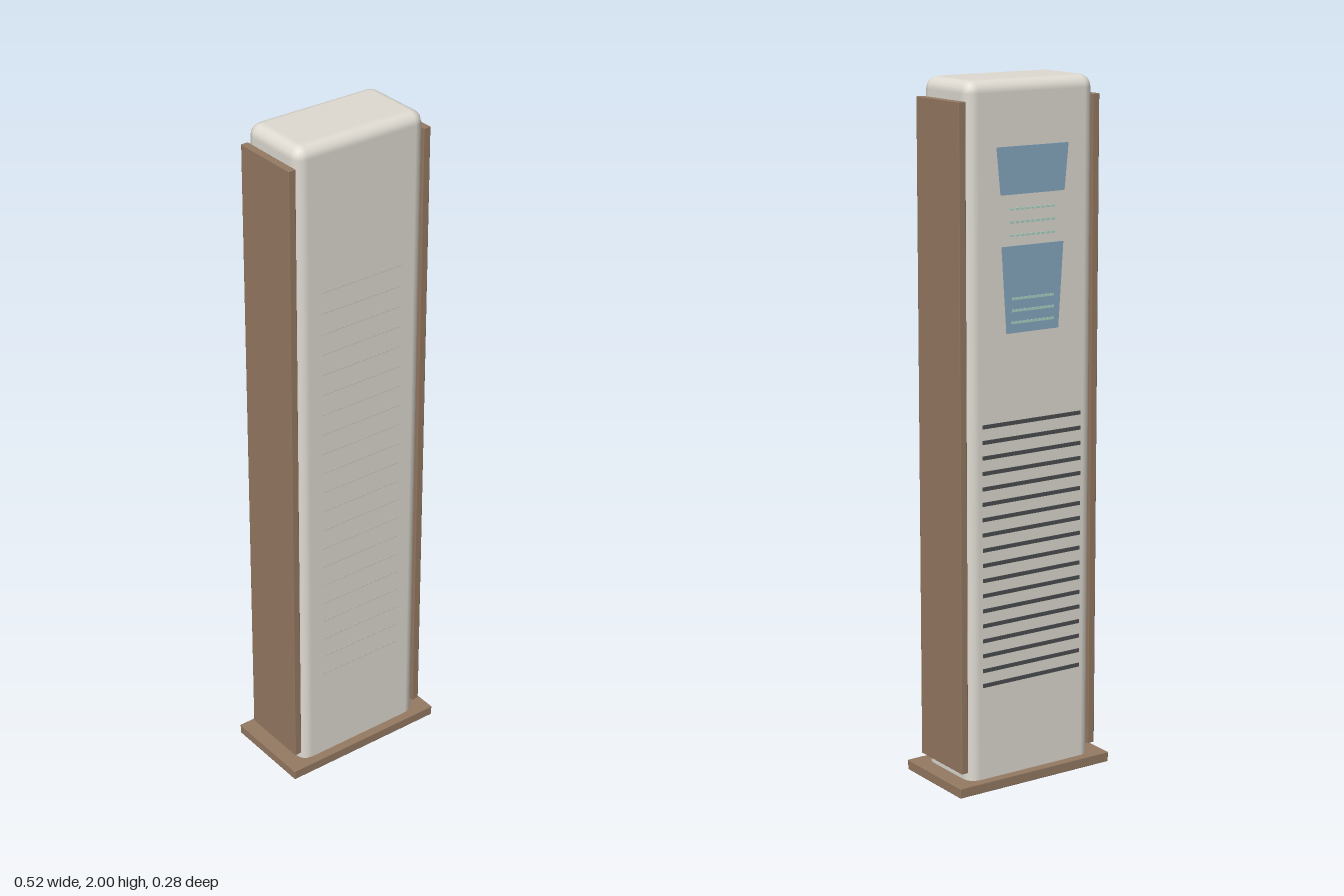
import * as THREE from 'three';
import { RoundedBoxGeometry } from 'three/addons/geometries/RoundedBoxGeometry.js';

const mat = (color) => new THREE.MeshStandardMaterial({ color });

export function createModel() {
  const group = new THREE.Group();
  const shell = mat(0xdfdbd2), wood = mat(0x957a62), dark = mat(0x4a4d50);
  const glass = mat(0x86a9bf), glow = mat(0xa9d3c4), seam = mat(0xd2cec5);
  const BACK = -0.115, FRONT = 0.113;

  const add = (name, geometry, material, x, y, z) => {
    const mesh = new THREE.Mesh(geometry, material);
    mesh.name = name;
    mesh.position.set(x, y, z);
    group.add(mesh);
    return mesh;
  };
  const bar = (name, w, h, d, material, x, y, z) =>
    add(name, new THREE.BoxGeometry(w, h, d), material, x, y, z);

  // Tower body with rounded edges; its flat foot shows under the plinth
  add('body', new RoundedBoxGeometry(0.42, 2, FRONT - BACK, 2, 0.035), shell, 0, 1, (FRONT + BACK) / 2);

  // Plinth and side boards
  add('plinth', new RoundedBoxGeometry(0.516, 0.03, 0.278, 1, 0.003), wood, 0, 0.02, 0);
  for (const side of [-1, 1]) {
    add(side > 0 ? 'leftBoard' : 'rightBoard',
      new RoundedBoxGeometry(0.022, 1.885, 0.21, 1, 0.002), wood, side * 0.22, 1.003, 0);
  }

  // Tapered display panels on the back
  const display = (name, top, bottom, y0, y1) => {
    const shape = new THREE.Shape([[-bottom, y0], [bottom, y0], [top, y1], [-top, y1]]
      .map(([x, y]) => new THREE.Vector2(x, y)));
    add(name, new THREE.ExtrudeGeometry(shape, { depth: 0.006, bevelEnabled: false }), glass, 0, 0, BACK - 0.003);
  };
  display('upperDisplay', 0.118, 0.105, 1.69, 1.82);
  display('lowerDisplay', 0.102, 0.086, 1.31, 1.55);

  // Rows of small indicator dashes between the displays, light lines on the lower one
  for (let row = 0; row < 3; row++) {
    for (let i = 0; i < 9; i++) {
      bar('indicatorDash', 0.011, 0.006, 0.004, glow, -0.068 + i * 0.017, 1.65 - row * 0.036, BACK - 0.001);
    }
    bar('displayLine', 0.14, 0.007, 0.003, glow, 0, 1.405 - row * 0.033, BACK - 0.003);
  }

  // Vent slats on the lower back
  for (let i = 0; i < 18; i++) {
    bar('ventSlat', 0.33, 0.011, 0.006, dark, 0, 0.314 + i * 0.0438, BACK);
  }

  // Faint seams on the front
  for (let i = 0; i < 21; i++) {
    bar('frontSeam', 0.27, 0.004, 0.002, seam, 0, 0.32 + i * 0.0625, FRONT - 0.0005);
  }
  return group;
}
